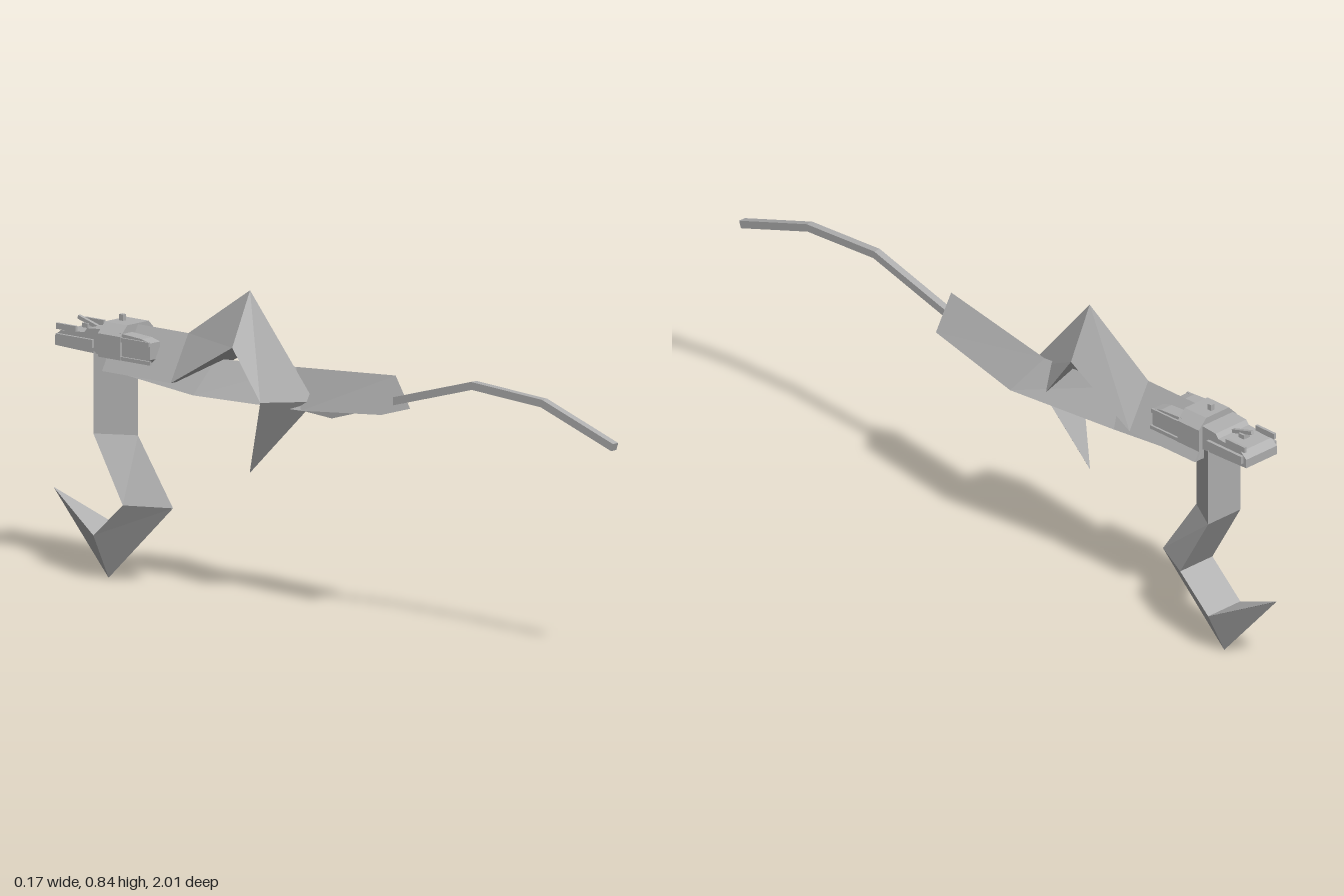
import * as THREE from 'three';

const grey = new THREE.MeshStandardMaterial({ color: 0xb0b0b0, flatShading: true, side: THREE.DoubleSide });
grey.name = 'plain grey';
const CX = -0.015; // centre line of the whole piece

// Joins triangular cross-sections [left, right, ridge] into a closed faceted prism
function prism(name, sections) {
  const tri = [];
  for (let i = 0; i + 1 < sections.length; i++) {
    const a = sections[i], b = sections[i + 1];
    for (let k = 0; k < 3; k++) {
      const n = (k + 1) % 3;
      tri.push([a[k], a[n], b[n]], [a[k], b[n], b[k]]);
    }
  }
  const first = sections[0], last = sections[sections.length - 1];
  tri.push([first[0], first[2], first[1]], [last[0], last[1], last[2]]);
  let volume = 0;
  for (const [a, b, c] of tri) {
    volume += new THREE.Vector3(...a).dot(new THREE.Vector3(...b).cross(new THREE.Vector3(...c)));
  }
  if (volume < 0) tri.forEach((t) => t.reverse());
  const geo = new THREE.BufferGeometry();
  geo.setAttribute('position', new THREE.Float32BufferAttribute(tri.flat(2), 3));
  geo.computeVertexNormals();
  return named(name, geo);
}

function named(name, geo) {
  const mesh = new THREE.Mesh(geo, grey);
  mesh.name = name;
  return mesh;
}

// Section with base corners at (by, bz) and ridge at (ry, rz)
const section = (half, by, bz, ry, rz, x = CX) => [[x - half, by, bz], [x + half, by, bz], [x, ry, rz]];

function box(name, w, h, d, x, y, z) {
  const mesh = named(name, new THREE.BoxGeometry(w, h, d));
  mesh.position.set(x, y, z);
  return mesh;
}

// Square bar between two points of the centre plane, given as [z, y]
function bar(name, [z1, y1], [z2, y2], t, x = CX) {
  const mesh = box(name, t, t, Math.hypot(z2 - z1, y2 - y1) + t * 0.2, x, (y1 + y2) / 2, (z1 + z2) / 2);
  mesh.rotation.x = -Math.atan2(y2 - y1, z2 - z1);
  return mesh;
}

// Side profile of [z, y] points, extruded across x from x0 to x1
function sideExtrude(name, points, x0, x1) {
  const shape = new THREE.Shape(points.map(([z, y]) => new THREE.Vector2(-z, y)));
  const geo = new THREE.ExtrudeGeometry(shape, { depth: x1 - x0, bevelEnabled: false });
  geo.rotateY(Math.PI / 2);
  geo.translate(x0, 0, 0);
  return named(name, geo);
}

// Front profile of [x, y] points, extruded along z from z0 to z1
function frontExtrude(name, points, z0, z1) {
  const shape = new THREE.Shape(points.map(([x, y]) => new THREE.Vector2(x, y)));
  const geo = new THREE.ExtrudeGeometry(shape, { depth: z1 - z0, bevelEnabled: false });
  geo.translate(0, 0, z0);
  return named(name, geo);
}

export function createModel() {
  const model = new THREE.Group();
  model.name = 'hookedDevice';

  // Main spine, kinked to the left in the middle
  model.add(prism('spine', [
    section(0.057, 0.587, 0.22, 0.685, 0.22),
    section(0.059, 0.55, -0.1, 0.65, -0.17, 0.024),
    section(0.059, 0.55, -0.45, 0.645, -0.42),
    section(0.059, 0.58, -0.77, 0.68, -0.77),
  ]));

  // Raised arch that folds over and ends in a spike below
  model.add(prism('arch', [
    section(0.07, 0.575, -0.765, 0.7, -0.765),
    section(0.07, 0.575, -0.52, 0.7, -0.52),
    section(0.07, 0.7, -0.3, 0.845, -0.3),
    section(0.07, 0.565, -0.2, 0.575, -0.07),
    section(0.001, 0.355, -0.3, 0.353, -0.3),
  ]));

  // Hanging leg with a hooked point
  model.add(prism('leg', [
    section(0.06, 0.62, -0.805, 0.62, -0.7),
    section(0.06, 0.4, -0.805, 0.4, -0.7),
    section(0.06, 0.22, -0.7, 0.22, -0.575),
    section(0.06, 0.125, -0.805, 0.002, -0.805),
    section(0.001, 0.22, -1, 0.219, -1),
  ]));

  // Thin front feeler, bent in straight lengths and run through the spine
  const feeler = new THREE.Group();
  feeler.name = 'feeler';
  const path = [[1, 0.598], [0.75, 0.682], [0.5, 0.696], [0.22, 0.617], [0, 0.552], [-0.2, 0.565]];
  for (let i = 0; i + 1 < path.length; i++) feeler.add(bar('feelerLength', path[i], path[i + 1], 0.021));
  model.add(feeler);

  // Mechanism on the rear end
  const head = new THREE.Group();
  head.name = 'mechanism';
  for (const side of [-1, 1]) {
    const x = CX + side * 0.043;
    // forward side cases: shell, recessed face and lower rail
    head.add(sideExtrude('sideCase',
      [[-0.6, 0.625], [-0.6, 0.67], [-0.63, 0.678], [-0.71, 0.683], [-0.71, 0.612], [-0.61, 0.612]], x - 0.02, x + 0.02));
    head.add(box('caseRib', 0.006, 0.012, 0.1, CX + side * 0.066, 0.667, -0.65));
    head.add(box('caseRail', 0.006, 0.01, 0.16, CX + side * 0.066, 0.617, -0.675));
    // rear side flanges and low fences
    head.add(box('rearFlange', 0.012, 0.022, 0.13, CX + side * 0.06, 0.642, -0.87));
    head.add(box('rearFence', 0.008, 0.016, 0.07, CX + side * 0.055, 0.672, -0.905));
  }
  // raised bridge block
  head.add(frontExtrude('bridge', [
    [CX - 0.07, 0.612], [CX + 0.07, 0.612], [CX + 0.07, 0.675], [CX + 0.042, 0.703],
    [CX - 0.042, 0.703], [CX - 0.07, 0.675],
  ], -0.78, -0.7));
  // sloping rear plate with a step
  head.add(sideExtrude('rearPlate', [
    [-0.77, 0.615], [-0.77, 0.685], [-0.83, 0.68], [-0.84, 0.668], [-0.925, 0.662],
    [-0.945, 0.645], [-0.945, 0.62], [-0.86, 0.617],
  ], CX - 0.057, CX + 0.057));
  // small peg and lever on top
  head.add(box('peg', 0.012, 0.02, 0.014, CX, 0.71, -0.755));
  head.add(bar('lever', [-0.84, 0.672], [-0.91, 0.692], 0.01));
  head.add(box('leverFoot', 0.022, 0.012, 0.02, CX, 0.674, -0.88));
  // clip under the spine
  head.add(box('clip', 0.08, 0.03, 0.012, CX, 0.59, -0.772));
  model.add(head);

  return model;
}
